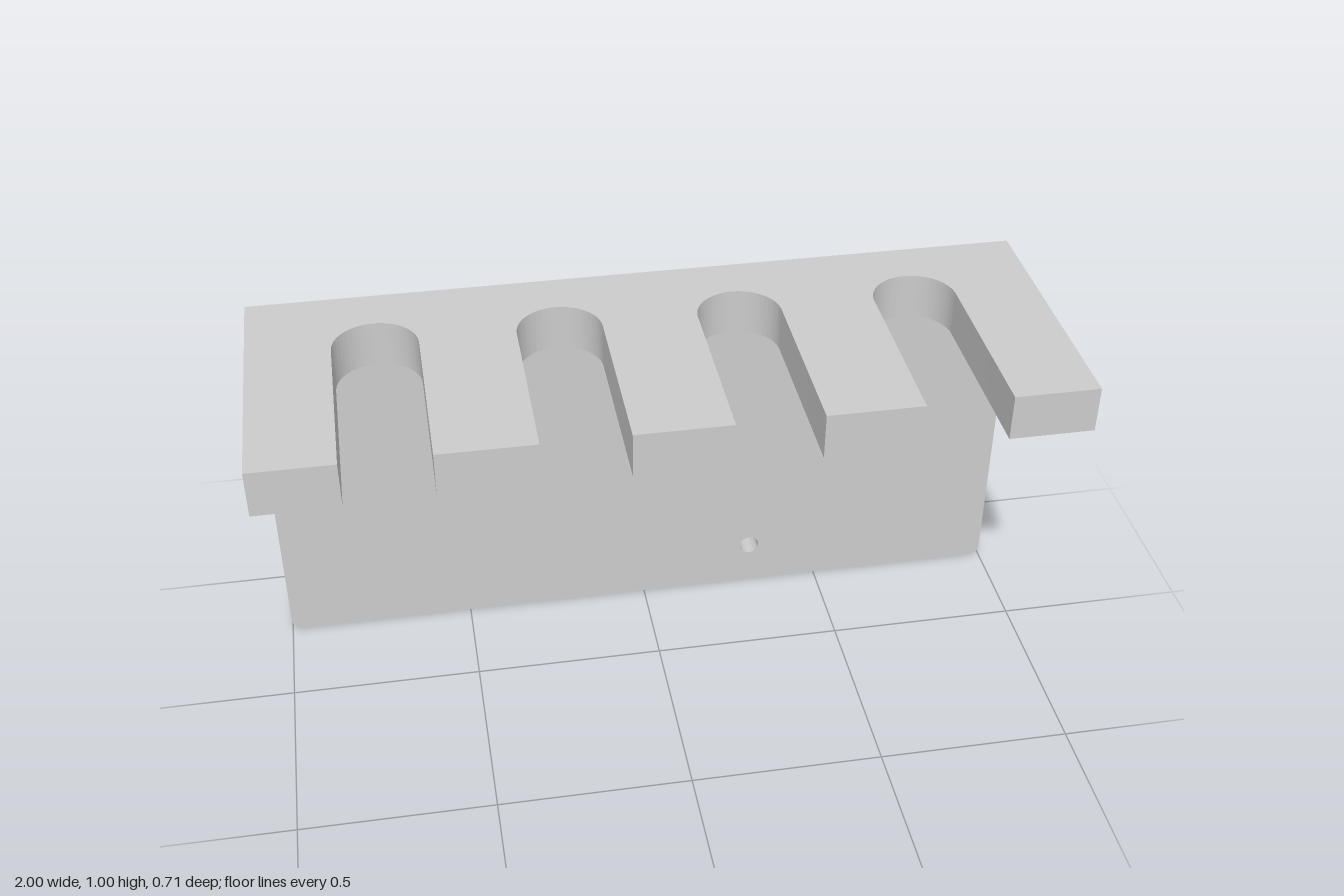
import * as THREE from 'three';
import { toCreasedNormals } from 'three/addons/utils/BufferGeometryUtils.js';

const HALF_DEPTH = 0.357, SHELF_Y = 0.88, PLATE_FRONT = -0.265;
const SLOT_R = 0.107, SLOT_CENTRE_Z = -0.117, PITCH = 0.4545, FIRST_SLOT = -0.684;
const RIB_W = 0.045;

export function createModel() {
  const group = new THREE.Group();
  group.name = 'slottedBracket';
  const material = new THREE.MeshStandardMaterial({ color: 0xcccccc });

  const extrude = (shape, depth) =>
    new THREE.ExtrudeGeometry(shape, { depth, bevelEnabled: false, curveSegments: 24 });
  const add = (name, geometry) => {
    const mesh = new THREE.Mesh(toCreasedNormals(geometry, 0.5), material);
    mesh.name = name;
    group.add(mesh);
    return mesh;
  };

  // Back plate with rounded lower corners and two screw holes
  const r = 0.03;
  const plate = new THREE.Shape();
  plate.moveTo(-1, SHELF_Y);
  plate.lineTo(-1, r);
  plate.absarc(-1 + r, r, r, Math.PI, Math.PI * 1.5, false);
  plate.lineTo(1 - r, 0);
  plate.absarc(1 - r, r, r, Math.PI * 1.5, Math.PI * 2, false);
  plate.lineTo(1, SHELF_Y);
  plate.closePath();
  for (const [x, y] of [[-0.311, 0.484], [0.306, 0.126]]) {
    plate.holes.push(new THREE.Path().absarc(x, y, 0.027, 0, Math.PI * 2, true));
  }
  add('backPlate', extrude(plate, PLATE_FRONT + HALF_DEPTH)).position.z = -HALF_DEPTH;

  // Shelf with four round-ended slots open to the front (shape y is -z)
  const shelf = new THREE.Shape();
  shelf.moveTo(-1, -HALF_DEPTH);
  for (let i = 0; i < 4; i++) {
    const x = FIRST_SLOT + i * PITCH;
    shelf.lineTo(x - SLOT_R, -HALF_DEPTH);
    shelf.lineTo(x - SLOT_R, -SLOT_CENTRE_Z);
    shelf.absarc(x, -SLOT_CENTRE_Z, SLOT_R, Math.PI, 0, true);
    shelf.lineTo(x + SLOT_R, -HALF_DEPTH);
  }
  shelf.lineTo(1, -HALF_DEPTH);
  shelf.lineTo(1, HALF_DEPTH);
  shelf.lineTo(-1, HALF_DEPTH);
  shelf.closePath();
  add('slottedShelf', extrude(shelf, 1 - SHELF_Y).rotateX(-Math.PI / 2)).position.y = SHELF_Y;

  // Triangular ribs under each finger of the shelf (shape x is z)
  const rib = new THREE.Shape([
    new THREE.Vector2(PLATE_FRONT, 0.645),
    new THREE.Vector2(0.28, SHELF_Y),
    new THREE.Vector2(PLATE_FRONT, SHELF_Y),
  ]);
  const middle = [0, 1, 2].map((i) => FIRST_SLOT + (i + 0.5) * PITCH);
  for (const x of [-1 + RIB_W / 2, ...middle, 1 - RIB_W / 2]) {
    add('supportRib', extrude(rib, RIB_W).rotateY(-Math.PI / 2)).position.x = x + RIB_W / 2;
  }

  return group;
}
